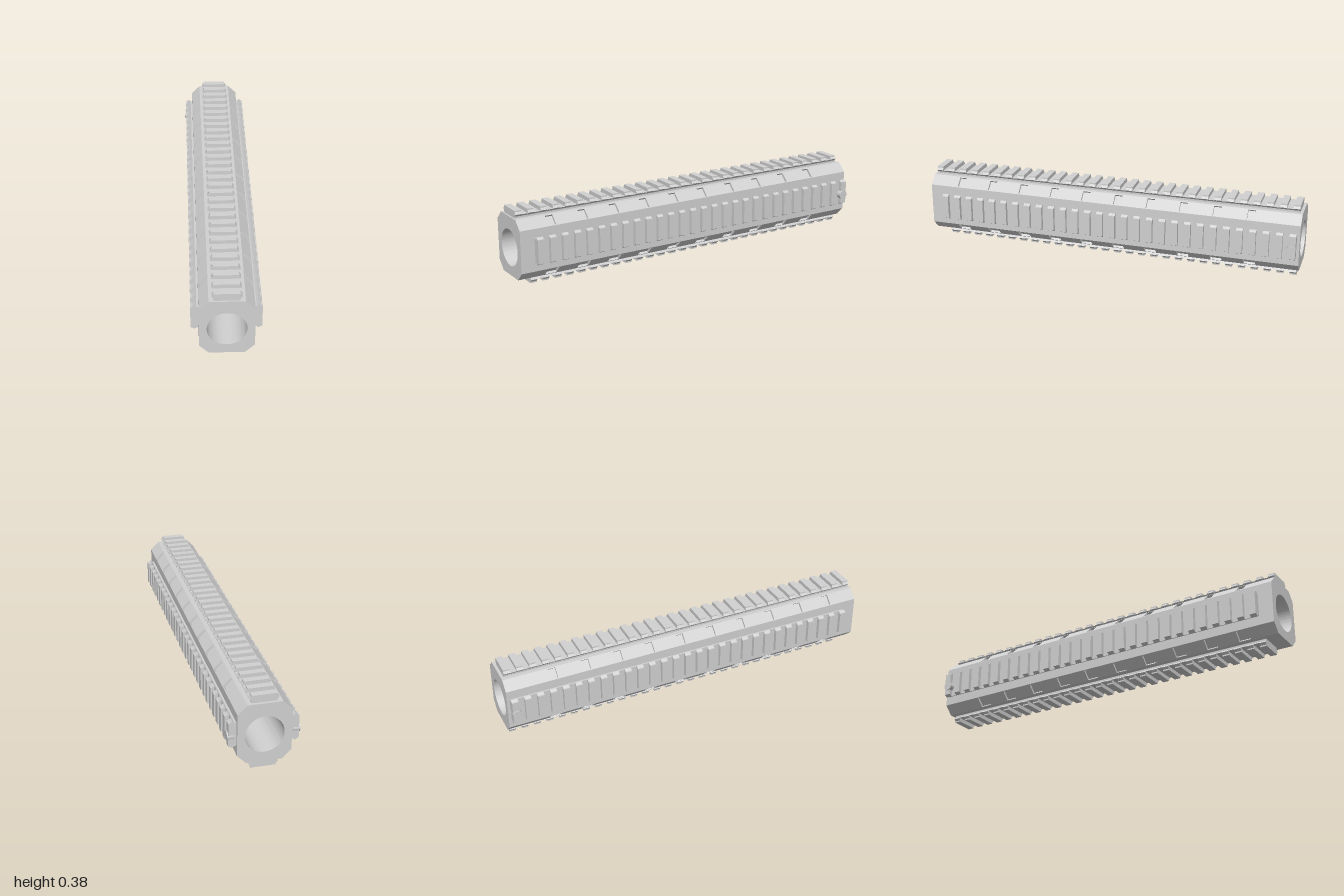
import * as THREE from 'three';
import { toCreasedNormals } from 'three/addons/utils/BufferGeometryUtils.js';

const CY = 0.191;            // height of the tube's axis of symmetry
const HALF_W = 0.13, HALF_H = 0.153, CHAMFER = 0.045;
const PITCH = 0.067, TOOTH = 0.034, LAST = -0.968;

const metal = new THREE.MeshStandardMaterial({ color: 0xd1d1d1 });
metal.name = 'light grey metal';

// Extrude a profile from z0 to z1
function extrude(shape, z0, z1) {
  const g = new THREE.ExtrudeGeometry(shape, { depth: z1 - z0, bevelEnabled: false, curveSegments: 48 });
  g.translate(0, 0, z0);
  return toCreasedNormals(g, 0.4);
}

function add(parent, geometry, name) {
  const m = new THREE.Mesh(geometry, metal);
  m.name = name;
  parent.add(m);
  return m;
}

// Octagonal section with a round bore; notches cut pockets into the chamfers
function bodyShape(notchTop, notchBottom) {
  const pts = [];
  const depth = 0.012 * Math.SQRT1_2;
  for (const [sx, sy] of [[1, 1], [-1, 1], [-1, -1], [1, -1]]) {
    const at = (t, d) => new THREE.Vector2(
      sx * (HALF_W - CHAMFER * t - d), sy * (HALF_H - CHAMFER * (1 - t) - d) + CY);
    const corner = [at(0, 0)];
    if (sy > 0 ? notchTop : notchBottom) {
      corner.push(at(0.07, 0), at(0.07, depth), at(0.92, depth), at(0.92, 0));
    }
    corner.push(at(1, 0));
    if (sx * sy < 0) corner.reverse();
    pts.push(...corner);
  }
  const s = new THREE.Shape(pts);
  s.holes.push(new THREE.Path().absarc(0, 0.182, 0.094, 0, Math.PI * 2, true));
  return s;
}

// Rail section standing on y = 0: narrow neck, flared flanks, flat top
function railShape(height) {
  const half = [[0.061, 0], [0.061, 0.009], [0.07, 0.02], [0.061, 0.031], [0.061, 0.038]]
    .filter(([, y]) => y < height);
  const topX = height < 0.03 ? 0.068 : 0.061;
  half.push([topX, height]);
  const left = half.map(([x, y]) => [-x, y]).reverse();
  return new THREE.Shape([...half, ...left].map(([x, y]) => new THREE.Vector2(x, y)));
}

function rail(name, count) {
  const g = new THREE.Group();
  g.name = name;
  const front = LAST + (count - 1) * PITCH + TOOTH / 2;
  add(g, extrude(railShape(0.0175), LAST - TOOTH / 2, front), 'railBase');
  const tooth = extrude(railShape(0.038), -TOOTH / 2, TOOTH / 2);
  for (let i = 0; i < count; i++) {
    add(g, tooth, 'railTooth').position.z = LAST + i * PITCH;
  }
  return g;
}

export function createModel() {
  const model = new THREE.Group();
  model.name = 'railedHandguard';

  // Tube: plain lengths alternating with pocketed lengths
  const body = new THREE.Group();
  body.name = 'body';
  model.add(body);
  const plain = bodyShape(false, false), low = bodyShape(false, true), both = bodyShape(true, true);
  let z = -1;
  for (let i = 0; i < 10; i++) {
    const c = -0.748 + i * 0.175;
    add(body, extrude(plain, z, c - 0.03), 'bodySection');
    add(body, extrude(low, c - 0.03, c - 0.02), 'pocketSection');
    add(body, extrude(both, c - 0.02, c + 0.02), 'pocketSection');
    add(body, extrude(low, c + 0.02, c + 0.03), 'pocketSection');
    z = c + 0.03;
  }
  add(body, extrude(plain, z, 1), 'bodySection');

  // Four toothed rails, the top one running to the front end
  const top = rail('topRail', 30);
  top.position.y = CY + HALF_H;
  const bottom = rail('bottomRail', 29);
  bottom.position.y = CY - HALF_H;
  bottom.rotation.z = Math.PI;
  model.add(top, bottom);

  for (const [side, s] of [['left', 1], ['right', -1]]) {
    const r = rail(side + 'Rail', 29);
    r.position.set(s * HALF_W, CY, 0);
    r.rotation.z = -s * Math.PI / 2;
    model.add(r);

    // Round screw head at the rear of each side rail
    const screw = add(model, new THREE.CylinderGeometry(0.024, 0.024, 0.034, 24), side + 'Screw');
    screw.rotation.z = Math.PI / 2;
    screw.position.set(s * 0.157, 0.179, -0.963);
  }
  return model;
}
